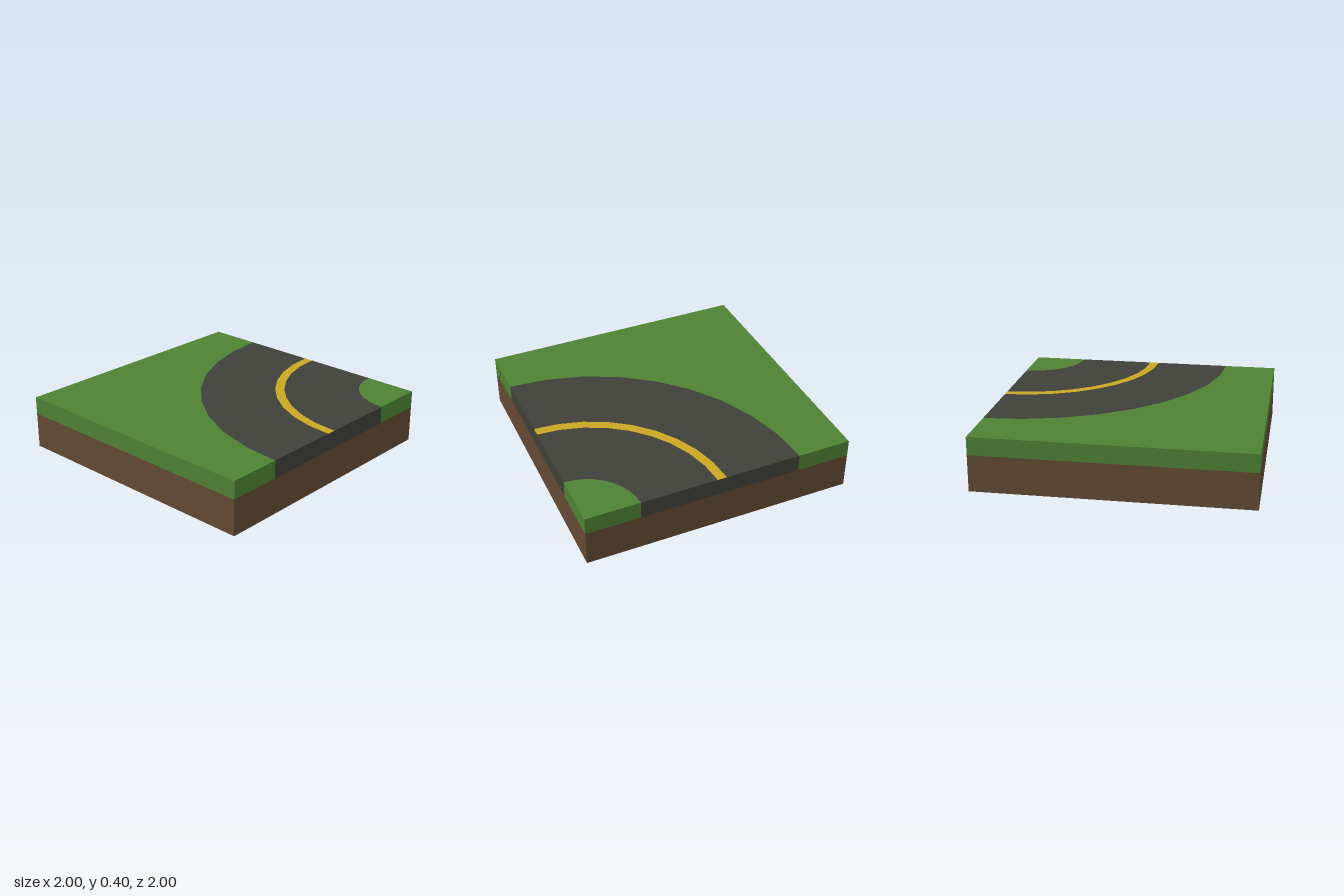
import * as THREE from 'three';

const TOP = 0.4, SEAM = 0.268;
const R_INNER = 0.4, R_OUTER = 1.6, R_LINE = [0.965, 1.035];
const SEGMENTS = 9;

const material = (name, color) => {
  const m = new THREE.MeshStandardMaterial({ color, side: THREE.DoubleSide });
  m.name = name;
  return m;
};

// Quarter arc around the front left corner, from the front edge to the +x edge
function arc(radius) {
  return Array.from({ length: SEGMENTS + 1 }, (_, i) => {
    const a = Math.PI - (i / SEGMENTS) * Math.PI / 2;
    return new THREE.Vector2(1 + radius * Math.cos(a), -1 + radius * Math.sin(a));
  });
}

export function createModel() {
  const grass = material('grass green', 0x4e8234);
  const asphalt = material('asphalt grey', 0x40403a);
  const soil = material('soil brown', 0x634a33);
  const paint = material('line yellow', 0xc9a622);

  const model = new THREE.Group();
  model.name = 'roadCornerTile';

  const add = (parent, name, geometry, mat) => {
    const mesh = new THREE.Mesh(geometry, mat);
    mesh.name = name;
    parent.add(mesh);
    return mesh;
  };

  // Flat top surface from outline points (x, -z)
  const surface = (name, points, mat) => {
    const geometry = new THREE.ShapeGeometry(new THREE.Shape(points));
    geometry.rotateX(-Math.PI / 2).translate(0, TOP, 0);
    add(model, name, geometry, mat);
  };
  const band = (name, r0, r1, mat) =>
    surface(name, [...arc(r0), ...arc(r1).reverse()], mat);
  const corner = (x, y) => new THREE.Vector2(x, y);

  surface('outerLawn', [...arc(R_OUTER), corner(1, 1), corner(-1, 1), corner(-1, -1)], grass);
  band('outerLane', R_LINE[1], R_OUTER, asphalt);
  band('centreLine', R_LINE[0], R_LINE[1], paint);
  band('innerLane', R_INNER, R_LINE[0], asphalt);
  surface('innerLawn', [...arc(R_INNER), corner(1, -1)], grass);

  // Thin side walls; the tile is hollow and open underneath
  const side = (name, angle, hasRoad) => {
    const wall = new THREE.Group();
    wall.name = name;
    wall.rotation.y = angle;
    const panel = (part, x0, x1, y0, y1, mat) => {
      const geometry = new THREE.PlaneGeometry(x1 - x0, y1 - y0);
      geometry.translate((x0 + x1) / 2, (y0 + y1) / 2, 1);
      add(wall, part, geometry, mat);
    };
    panel('soilWall', -1, 1, 0, SEAM, soil);
    if (hasRoad) {
      panel('grassEdge', -1, -0.6, SEAM, TOP, grass);
      panel('roadEdge', -0.6, 0.6, SEAM, TOP, asphalt);
      panel('grassEdge', 0.6, 1, SEAM, TOP, grass);
    } else {
      panel('grassEdge', -1, 1, SEAM, TOP, grass);
    }
    model.add(wall);
  };
  ['frontSide', 'leftSide', 'backSide', 'rightSide'].forEach((name, i) =>
    side(name, i * Math.PI / 2, i < 2));

  return model;
}
